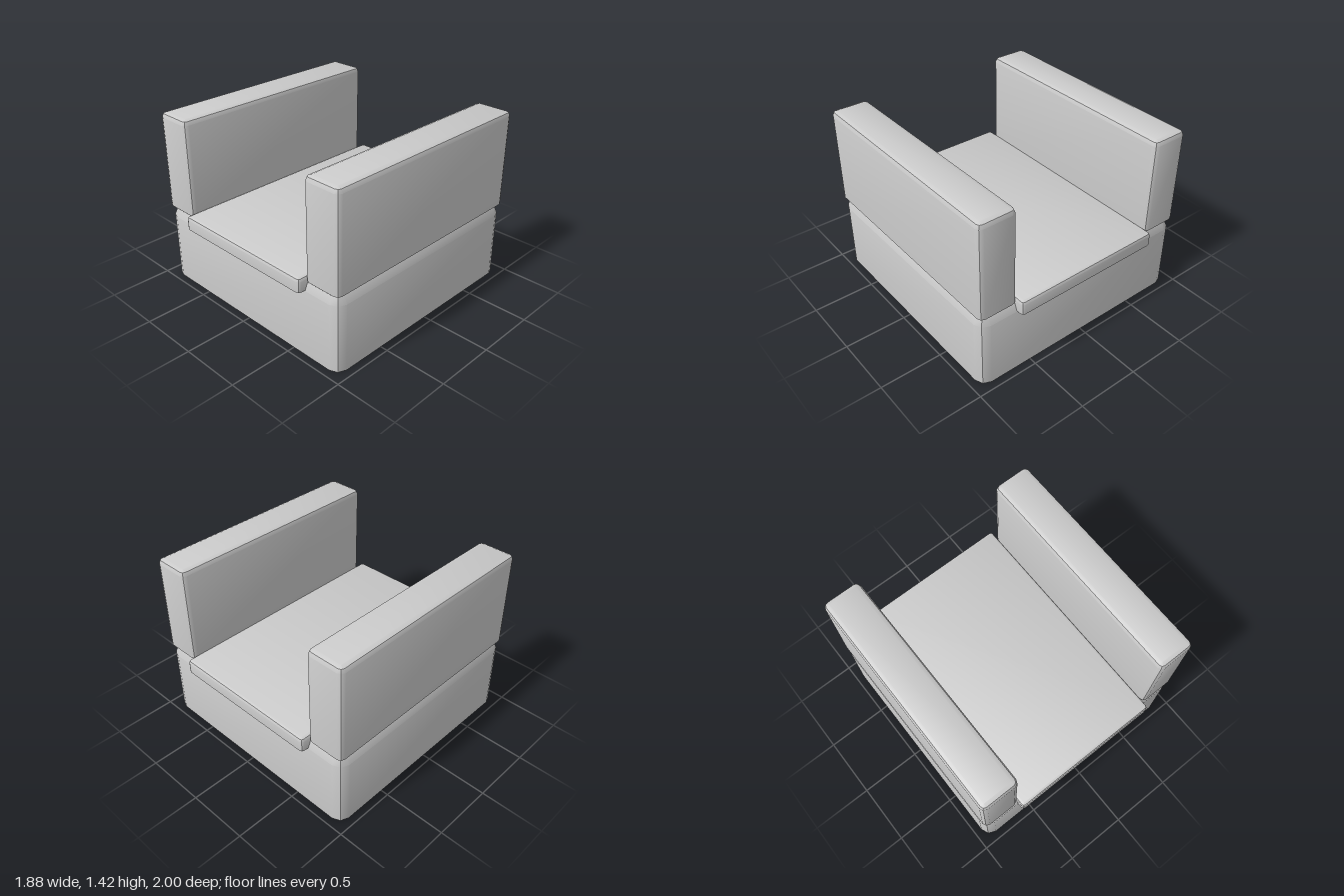
import * as THREE from 'three';
import { toCreasedNormals } from 'three/addons/utils/BufferGeometryUtils.js';

// Block with a flat bottom, bevelled upright edges and a bevelled top, standing on y = 0.
function bevelledBlock(width, height, depth, radius, steps = 2) {
  const positions = [];
  const index = [];
  const count = 4 * (steps + 1);

  // One horizontal cross-section; corner centres stay put while the radius shrinks.
  const addRing = (y, r) => {
    for (let corner = 0; corner < 4; corner++) {
      const sx = corner === 0 || corner === 3 ? 1 : -1;
      const sz = corner < 2 ? 1 : -1;
      for (let i = 0; i <= steps; i++) {
        const a = (corner + i / steps) * Math.PI / 2;
        positions.push(
          sx * (width / 2 - radius) + r * Math.cos(a),
          y,
          sz * (depth / 2 - radius) + r * Math.sin(a)
        );
      }
    }
  };

  addRing(0, radius);
  for (let i = 0; i <= steps; i++) {
    const a = i / steps * Math.PI / 2;
    addRing(height - radius + radius * Math.sin(a), i === steps ? 0 : radius * Math.cos(a));
  }

  // Sides and bevels; on the last ring each corner collapses to one point.
  for (let ring = 0; ring <= steps; ring++) {
    for (let i = 0; i < count; i++) {
      const a = ring * count + i;
      const b = ring * count + (i + 1) % count;
      index.push(a, a + count, b);
      const collapsed = ring === steps && i % (steps + 1) < steps;
      if (!collapsed) index.push(b, a + count, b + count);
    }
  }

  // Flat bottom and top.
  for (let i = 1; i < count - 1; i++) index.push(0, i, i + 1);
  const t = (steps + 1) * count;
  const c = steps + 1;
  index.push(t, t + 2 * c, t + c, t, t + 3 * c, t + 2 * c);

  const geometry = new THREE.BufferGeometry();
  geometry.setAttribute('position', new THREE.Float32BufferAttribute(positions, 3));
  geometry.setIndex(index);
  return toCreasedNormals(geometry, 0.5);
}

export function createModel() {
  const model = new THREE.Group();
  model.name = 'armchair';
  const material = new THREE.MeshStandardMaterial({ color: 0xcccccc });

  const add = (name, geometry, x, y) => {
    const mesh = new THREE.Mesh(geometry, material);
    mesh.name = name;
    mesh.position.set(x, y, 0);
    model.add(mesh);
  };

  // Heavy square base
  add('base', bevelledBlock(1.88, 0.63, 1.88, 0.085), 0, 0);

  // Thin seat slab, sunk into the base and overhanging front and back
  add('seat', bevelledBlock(1.26, 0.11, 2, 0.025), 0, 0.55);

  // Matching side walls
  const arm = bevelledBlock(0.31, 0.785, 1.88, 0.04);
  add('leftArm', arm, 0.785, 0.63);
  add('rightArm', arm, -0.785, 0.63);

  return model;
}
